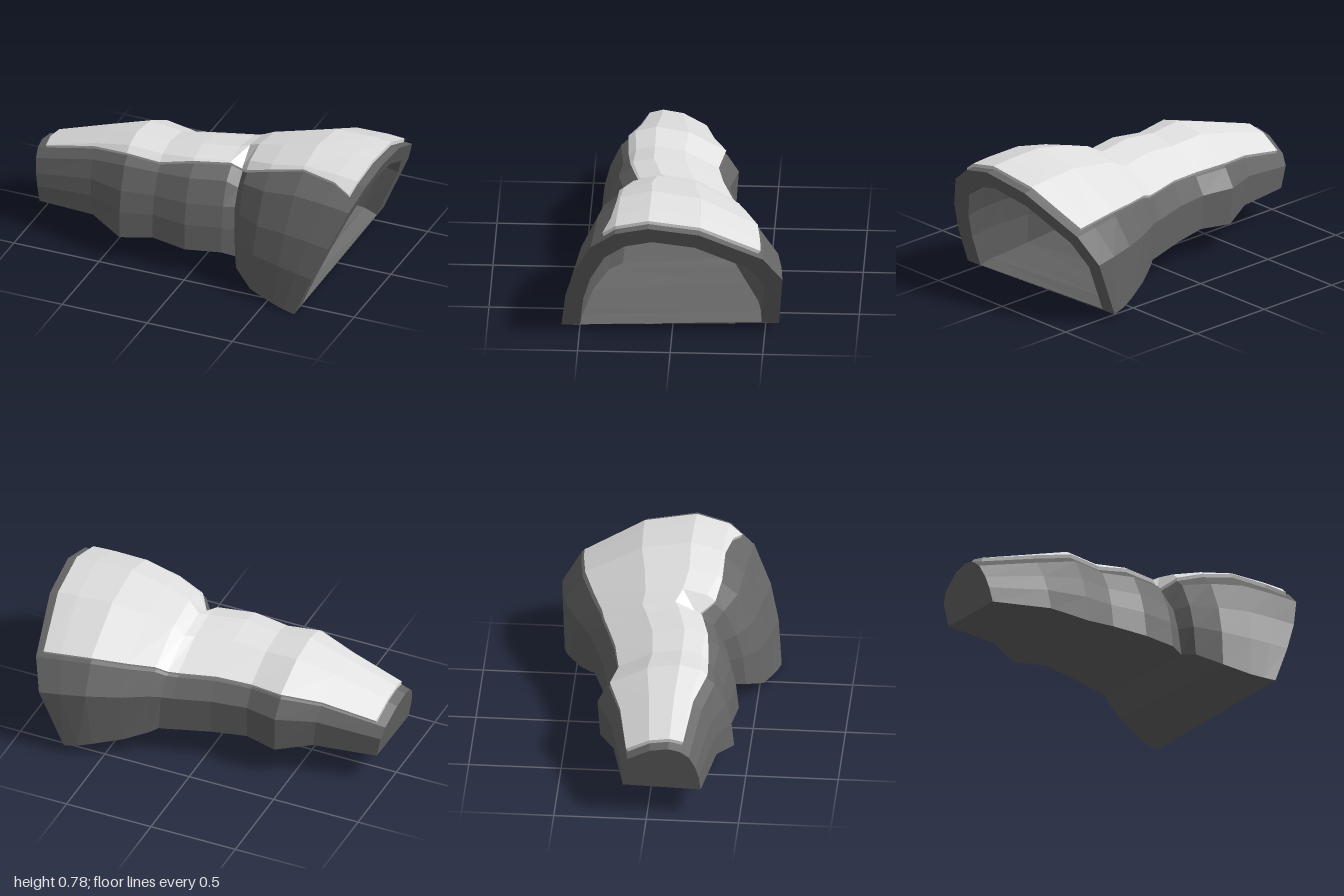
import * as THREE from 'three';

// Unit cross-section: [u across from back to front, h height], from front bottom over the top to back bottom
const PROFILE = [[1, 0], [0.98, 0.3], [0.94, 0.54], [0.86, 0.8], [0.75, 0.94],
  [0.6, 1], [0.37, 0.94], [0.085, 0.69], [0, 0.47], [0.02, 0]];

// Stations along the sleeve: x bottom, x top, top y, front base y, back base y, front z, back z, pinch
const STATIONS = [
  [-0.94, -1.0, 0.445, 0.165, 0.18, 0.29, -0.14, 0],
  [-0.60, -0.65, 0.555, 0.19, 0.20, 0.35, -0.22, 0],
  [-0.41, -0.43, 0.62, 0.135, 0.17, 0.43, -0.31, 0],
  [-0.23, -0.24, 0.60, 0.16, 0.18, 0.40, -0.27, 0],
  [-0.03, -0.05, 0.625, 0.145, 0.175, 0.425, -0.31, 0],
  [0.17, 0.15, 0.63, 0.15, 0.17, 0.385, -0.37, 0],
  [0.24, 0.20, 0.64, 0.13, 0.17, 0.36, -0.39, 0.045],
  [0.28, 0.27, 0.68, 0.11, 0.15, 0.44, -0.42, 0],
  [0.40, 0.42, 0.72, 0.05, 0.11, 0.525, -0.49, 0],
  [0.55, 0.62, 0.765, 0.015, 0.08, 0.565, -0.565, 0],
  [0.62, 0.83, 0.76, 0.005, 0.06, 0.585, -0.59, 0],
  [0.69, 1.0, 0.745, 0, 0.045, 0.60, -0.60, 0],
];
const LAST = STATIONS.length - 1;
const lerp = THREE.MathUtils.lerp;

function section([xb, xt, yT, yF, yB, zF, zB, pinch]) {
  return PROFILE.map(([u, h], j) => {
    const base = lerp(yB, yF, u);
    const y = lerp(base, yT, h) - (j === 3 || j === 4 ? pinch : 0);
    return new THREE.Vector3(lerp(xb, xt, (y - yF) / (yT - yF)), y, lerp(zB, zF, u));
  });
}

// Station at a fractional position
function stationAt(s) {
  const i = Math.min(Math.floor(s), LAST - 1);
  return STATIONS[i].map((v, k) => lerp(v, STATIONS[i + 1][k], s - i));
}

// Faceted skin over rows of points, optionally closed around and capped at both ends
function loft(rows, closed) {
  const n = rows[0].length;
  const index = [];
  for (let i = 0; i < rows.length - 1; i++) {
    for (let j = 0; j < (closed ? n : n - 1); j++) {
      const k = (j + 1) % n;
      const a = i * n + j, b = a + n, c = i * n + k, d = c + n;
      index.push(a, b, d, a, d, c);
    }
  }
  if (closed) {
    const e = (rows.length - 1) * n;
    for (let j = 1; j < n - 1; j++) index.push(0, j, j + 1, e, e + j + 1, e + j);
  }
  const indexed = new THREE.BufferGeometry().setFromPoints(rows.flat());
  indexed.setIndex(index);
  const geometry = indexed.toNonIndexed();
  geometry.computeVertexNormals();
  return geometry;
}

// Outer skin to the mouth, over the rim, then the cavity back to its end wall
function sleeveGeometry() {
  const outer = STATIONS.map(section);
  const inner = STATIONS.map(([xb, xt, yT, yF, yB, zF, zB, pinch], i) => {
    const t = 0.04 + 0.06 * i / LAST;
    const floor = i === LAST ? 0.004 : 0.02;
    const shift = i === 0 ? 0.05 : 0;
    const top = i === LAST ? 0.958 : xt + shift;
    return section([xb + shift, top, yT - t, yF + floor, yB + floor, zF - t, zB + t, pinch]);
  }).reverse();
  return loft([...outer, ...inner], true);
}

// Raised plate following the top of the sleeve, with edges sunk into it
function plateGeometry() {
  const stops = [0.15, 1, 2, 3, 4, 5, 6, 7, 8, 9, 10, 10.7];
  const frontEdge = [3.95, 3.8, 3.57, 3.5, 3.85, 3.9, 3.9, 3.55, 3.8, 3.9, 3.75, 3.5];
  const row = (r, lift, edgeLift) => {
    const points = section(stationAt(stops[r]));
    const at = (j, l) => {
      const i = Math.floor(j);
      const p = points[i].clone().lerp(points[i + 1], j - i);
      const u = lerp(PROFILE[i][0], PROFILE[i + 1][0], j - i);
      p.y += l;
      p.z += l * (u - 0.5) * 1.4;
      return p;
    };
    const f = frontEdge[r], b = 6.93;
    const mid = [f, 4.02, 5, 6, b].map((j) => at(j, lift));
    return [at(f, edgeLift), ...mid, at(b, edgeLift)];
  };
  const rows = stops.map((_, r) => row(r, 0.018, -0.005));
  rows.unshift(row(0, -0.005, -0.005));
  rows.push(row(stops.length - 1, -0.005, -0.005));
  return loft(rows, false);
}

export function createModel() {
  const darkGrey = new THREE.MeshStandardMaterial({ color: 0x666666 });
  darkGrey.name = 'dark grey';
  const paleGrey = new THREE.MeshStandardMaterial({ color: 0xe0e0e0 });
  paleGrey.name = 'pale grey';

  const group = new THREE.Group();
  group.name = 'armGuard';
  const sleeve = new THREE.Mesh(sleeveGeometry(), darkGrey);
  sleeve.name = 'hollowSleeve';
  const plate = new THREE.Mesh(plateGeometry(), paleGrey);
  plate.name = 'topPlate';
  group.add(sleeve, plate);
  return group;
}
